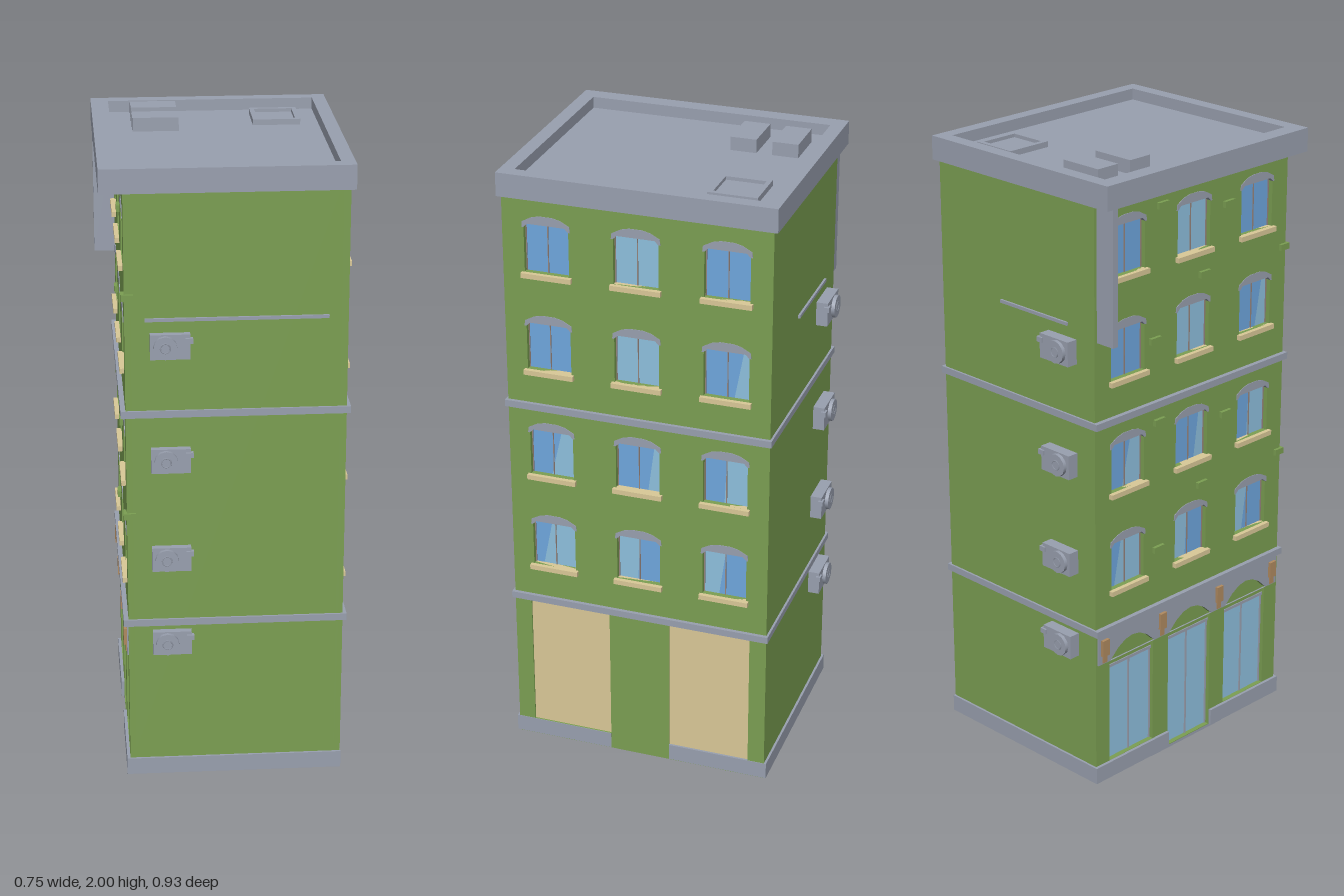
import * as THREE from 'three';

const mat = (name, color) => {
  const m = new THREE.MeshStandardMaterial({ color });
  m.name = name;
  return m;
};

export function createModel() {
  const green = mat('green wall', 0x7b9f52), gray = mat('gray stone', 0x99a0af);
  const beige = mat('beige panel', 0xdac998), blue = mat('blue glass', 0x6fa7de);
  const light = mat('light glass', 0x8ec0de), brown = mat('brown bracket', 0xb08a60);
  const frame = mat('window frame', 0x94837c);
  const root = new THREE.Group();
  root.name = 'apartmentBuilding';
  const ZC = 0.0075; // middle of the wall depth

  const add = (parent, name, geo, m, x = 0, y = 0, z = 0) => {
    const mesh = new THREE.Mesh(geo, m);
    mesh.name = name;
    mesh.position.set(x, y, z);
    parent.add(mesh);
    return mesh;
  };
  // Box given by its minimum and maximum on each axis
  const box = (parent, name, m, x0, x1, y0, y1, z0, z1) =>
    add(parent, name, new THREE.BoxGeometry(x1 - x0, y1 - y0, z1 - z0), m,
      (x0 + x1) / 2, (y0 + y1) / 2, (z0 + z1) / 2);
  const poly = (pts) => new THREE.Shape(pts.map(([x, y]) => new THREE.Vector2(x, y)));
  const rect = (x0, x1, y0, y1) => poly([[x0, y0], [x1, y0], [x1, y1], [x0, y1]]);
  const slab = (shape, depth) => new THREE.ExtrudeGeometry(shape, { depth, bevelEnabled: false, curveSegments: 6 });
  // Upright opening closed by a shallow arch
  const arch = (c, w, y0, y1, rise) => {
    const pts = [[c - w / 2, y0], [c + w / 2, y0]];
    for (let i = 0; i <= 6; i++) {
      const t = 1 - i / 3;
      pts.push([c + t * w / 2, y1 - rise * t * t]);
    }
    return poly(pts);
  };

  // Core of the building behind the two window walls
  box(root, 'wallCore', green, -0.29, 0.338, 0.1, 1.95, -0.415, 0.43);

  // Plinth: two hollow rings, leaving the middle bay open
  for (const s of [-1, 1]) {
    const ring = rect(-0.36, 0.32, 0, 0.33);
    ring.holes.push(rect(-0.325, 0.285, 0.035, 0.295));
    const g = slab(ring, 0.055);
    g.rotateX(Math.PI / 2);
    g.rotateY(Math.PI);
    add(root, 'plinth', g, gray, 0, 0.065, s > 0 ? 0.4375 : -0.0925);
    box(root, 'underFloor', gray, -0.285, 0.338, 0.09, 0.1, s > 0 ? 0.105 : -0.4, s > 0 ? 0.415 : -0.09);
    const outer = s > 0 ? 0.395 : -0.415;
    box(root, 'endWallFoot', green, -0.31, 0.34, 0.03, 0.1, outer, outer + (s > 0 ? 0.035 : 0.02));
    const inner = ZC + s * 0.115;
    box(root, 'innerWallFoot', green, -0.31, 0.34, 0.03, 0.1, inner - 0.012, inner + 0.012);
  }
  box(root, 'passageFloor', gray, -0.285, 0.338, 0.05, 0.1, -0.09, 0.105);
  box(root, 'floorBeam', gray, -0.24, 0.338, 0.008, 0.06, 0, 0.015);
  box(root, 'entranceStep', gray, -0.31, -0.26, 0, 0.01, -0.165, 0.17);

  // Bands, cornice with parapet, and roof
  for (const y of [0.54, 1.232]) box(root, 'stringCourse', gray, -0.325, 0.37, y - 0.011, y + 0.011, -0.422, 0.437);
  const parapet = rect(-0.38, 0.373, -0.44, 0.43);
  parapet.holes.push(rect(-0.325, 0.33, -0.395, 0.385));
  const pg = slab(parapet, 0.075);
  pg.rotateX(-Math.PI / 2);
  add(root, 'cornice', pg, gray, 0, 1.918, 0);
  box(root, 'roof', gray, -0.33, 0.335, 1.92, 1.957, -0.39, 0.4);
  box(root, 'roofVent', gray, -0.257, -0.113, 1.95, 2, -0.345, -0.263);
  box(root, 'roofVent', gray, -0.257, -0.113, 1.95, 2, -0.213, -0.13);
  const hatch = rect(0.123, 0.272, 0.183, 0.337);
  hatch.holes.push(rect(0.138, 0.257, 0.197, 0.322));
  const hg = slab(hatch, 0.018);
  hg.rotateX(-Math.PI / 2);
  add(root, 'roofHatchRim', hg, gray, 0, 1.957, 0);
  box(root, 'roofHatchLid', gray, 0.138, 0.257, 1.955, 1.964, -0.322, -0.197);

  // Window: glass split by a slanted reflection, frame, lintel and sill
  const W = 0.142, H = 0.157;
  const makeWindow = (wall, u, y, [bottom, top, flip]) => {
    const win = new THREE.Group();
    win.name = 'window';
    win.position.set(u, y, 0);
    wall.add(win);
    const h = W / 2, b = -h + bottom * W, t = -h + top * W;
    if (bottom + top > 0) add(win, 'glass', new THREE.ShapeGeometry(poly([[-h, 0], [b, 0], [t, H], [-h, H]])), flip ? light : blue, 0, 0, 0.003);
    if (bottom + top < 2) add(win, 'glass', new THREE.ShapeGeometry(poly([[b, 0], [h, 0], [h, H], [t, H]])), flip ? blue : light, 0, 0, 0.003);
    for (const x of [-h + 0.002, 0, h - 0.002]) box(win, 'frame', frame, x - 0.0015, x + 0.0015, 0, H, 0.001, 0.006);
    add(win, 'lintel', slab(poly([[-h - 0.006, H - 0.012], [-h, H - 0.012], [-h + 0.012, H], [h - 0.012, H], [h, H - 0.012],
      [h + 0.006, H - 0.012], [h + 0.004, H + 0.006], [h - 0.025, H + 0.022], [0.02, H + 0.028],
      [-0.02, H + 0.028], [-h + 0.025, H + 0.022], [-h - 0.004, H + 0.006]]), 0.022), gray);
    box(win, 'sill', beige, -0.08, 0.08, -0.016, 0, 0, 0.034);
  };
  const columns = [-0.2825, 0, 0.2825], rows = [1.68, 1.357, 0.992, 0.665];
  const panes = [
    [[1, 1, 0], [0, 0, 0], [1, 1, 0]],
    [[1, 1, 0], [0, 0, 0], [0.65, 0.85, 0]],
    [[0.45, 0.7, 0], [0.7, 0.85, 0], [0.45, 0.5, 0]],
    [[0.2, 0.42, 0], [0.45, 0.5, 1], [0.35, 0.5, 1]],
  ];

  // Two long walls, each drawn facing +z and turned into place
  for (const s of [1, -1]) {
    const wall = new THREE.Group();
    wall.name = s > 0 ? 'sideWall' : 'shopWall';
    wall.rotation.y = s * Math.PI / 2;
    wall.position.set(s > 0 ? 0.338 : -0.29, 0, ZC);
    root.add(wall);
    const skin = rect(-0.4225, 0.4225, 0.008, 1.95);
    for (const y of rows) for (const u of columns) skin.holes.push(rect(u - W / 2, u + W / 2, y, y + H));
    if (s > 0) {
      for (const k of [-1, 1]) {
        const a = k > 0 ? 0.1 : -0.3675, b = k > 0 ? 0.3675 : -0.1;
        skin.holes.push(rect(a, b, 0.065, 0.53));
        box(wall, 'blankPanel', beige, a, b, 0.065, 0.53, 0, 0.015);
      }
    } else {
      // Shop front: arched bays with glass, fascia and brackets
      const fascia = rect(-0.415, 0.415, 0.425, 0.53);
      for (const u of [-0.265, 0, 0.265]) {
        const y0 = u ? 0.066 : 0.012;
        skin.holes.push(arch(u, 0.195, y0, 0.482, 0.055));
        fascia.holes.push(arch(u, 0.195, 0.4255, 0.482, 0.055));
        box(wall, 'shopGlass', light, u - 0.0975, u + 0.0975, y0, 0.4, 0, 0.004);
        add(wall, 'archPanel', slab(arch(u, 0.195, 0.395, 0.482, 0.055), 0.009), green);
        box(wall, 'transom', gray, u - 0.0975, u + 0.0975, 0.392, 0.402, 0, 0.012);
        for (const d of [-0.095, 0, 0.095]) box(wall, 'shopFrame', gray, u + d - 0.0025, u + d + 0.0025, y0, 0.395, 0, 0.008);
      }
      add(wall, 'fascia', slab(fascia, 0.005), gray, 0, 0, 0.02);
      for (const u of [-0.39, -0.1325, 0.1325, 0.39]) {
        box(wall, 'bracket', brown, u - 0.014, u + 0.014, 0.455, 0.51, 0.02, 0.035);
        box(wall, 'bracketFoot', brown, u - 0.009, u + 0.009, 0.43, 0.455, 0.02, 0.029);
      }
      // Raised bricks scattered between the windows
      for (const [u, y] of [[-0.14, 1.86], [0.15, 1.8], [0.045, 1.6], [-0.17, 1.44], [-0.15, 1.17], [0.15, 1.11], [0.045, 0.9], [-0.15, 0.74]])
        box(wall, 'raisedBrick', green, u - 0.022, u + 0.022, y - 0.01, y + 0.01, 0.02, 0.031);
    }
    add(wall, 'wallSkin', slab(skin, 0.02), green);
    rows.forEach((y, r) => columns.forEach((u, c) => makeWindow(wall, u, y, panes[r][c])));
  }

  // Corner bricks and the upright blade sign
  for (const y of [1.6, 0.9]) box(root, 'cornerBrick', green, -0.32, -0.283, y - 0.01, y + 0.01, 0.4, 0.438);
  box(root, 'bladeSign', gray, -0.377, -0.3, 1.495, 1.92, -0.405, -0.385);

  // Cooling units and conduits on both end walls
  for (const s of [1, -1]) {
    const zWall = s > 0 ? 0.43 : -0.415, zBody = s * 0.452;
    for (const y of [1.45, 1.085, 0.76, 0.475]) {
      const unit = new THREE.Group();
      unit.name = 'coolingUnit';
      root.add(unit);
      box(unit, 'unitBody', gray, -0.235, -0.115, y - 0.039, y + 0.039, Math.min(zWall, zBody), Math.max(zWall, zBody));
      const fan = add(unit, 'fanDrum', new THREE.CylinderGeometry(0.036, 0.036, 0.013, 12), gray, -0.19, y, s * 0.457);
      fan.rotation.x = Math.PI / 2;
      add(unit, 'fanHub', new THREE.TorusGeometry(0.015, 0.0025, 4, 12), gray, -0.19, y, s * 0.463);
      box(unit, 'pipeValve', gray, -0.13, -0.107, y + 0.012, y + 0.028, s * 0.45 - 0.008, s * 0.45 + 0.008);
    }
    const x0 = s > 0 ? -0.25 : -0.2, x1 = s > 0 ? 0.3 : 0.09;
    box(root, 'conduit', gray, x0, x1, 1.525, 1.535, zWall - 0.007, zWall + 0.007);
  }
  return root;
}
